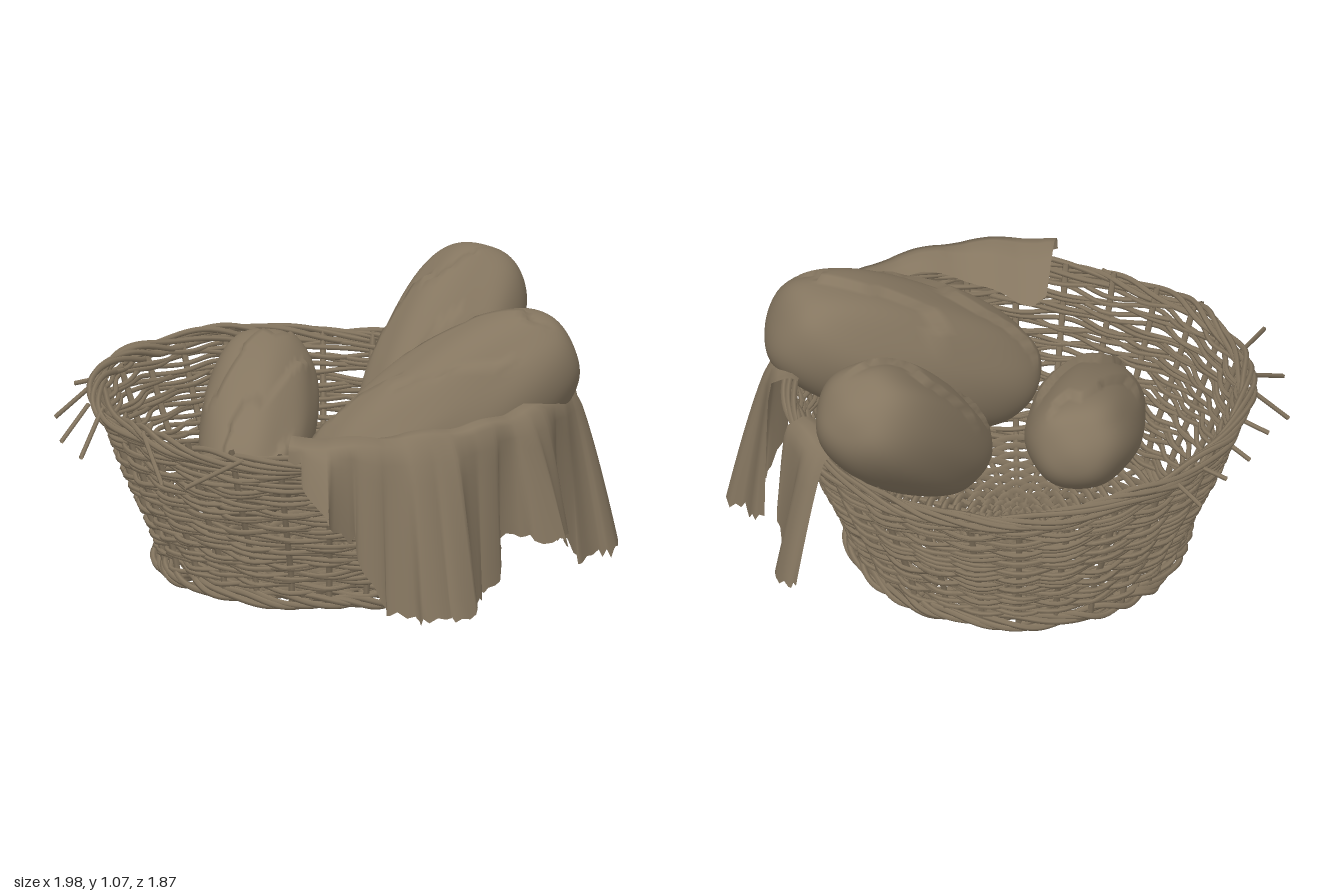
import * as THREE from 'three';
import { mergeGeometries, mergeVertices } from 'three/addons/utils/BufferGeometryUtils.js';

const TAU = Math.PI * 2;
const V = (x, y, z) => new THREE.Vector3(x, y, z);

let seed = 7;
const rand = () => (seed = (seed * 16807) % 2147483647) / 2147483647;

// Linear lookup in a table of [key, value, value...] rows with rising keys
function lookup(table, k, col = 1) {
  let i = 0;
  while (i < table.length - 2 && table[i + 1][0] < k) i++;
  const a = table[i], b = table[i + 1];
  const t = THREE.MathUtils.clamp((k - a[0]) / (b[0] - a[0]), 0, 1);
  return a[col] + (b[col] - a[col]) * t;
}

// Wall radius by height
const WALL = [[0.02, 0.6], [0.1, 0.605], [0.2, 0.645], [0.4, 0.735], [0.6, 0.805], [0.68, 0.835]];
const rimLift = (a) => 0.028 * Math.cos(2 * a) + 0.006 * Math.sin(7 * a);

class FnCurve extends THREE.Curve {
  constructor(fn) { super(); this.fn = fn; }
  getPoint(t, target = new THREE.Vector3()) { return target.copy(this.fn(t)); }
  getPointAt(t, target) { return this.getPoint(t, target); }
  getTangentAt(t, target) { return this.getTangent(t, target); }
}

// Closed strand; fn(angle) gives [radius, height]
function ring(fn, segments, thickness, sides = 5) {
  const curve = new FnCurve((t) => {
    const a = t * TAU, [r, y] = fn(a);
    return V(Math.cos(a) * r, y, Math.sin(a) * r);
  });
  return new THREE.TubeGeometry(curve, segments, thickness, sides, true);
}

function rod(points, thickness) {
  return new THREE.TubeGeometry(new THREE.CatmullRomCurve3(points), points.length * 2, thickness, 5);
}

// Several uneven strands twisted around one ring
function braid(radius, height, spread, thickness, strands, twists, lift) {
  const list = [];
  for (let s = 0; s < strands; s++) {
    const ph = (s / strands) * TAU, n = rand() * 6;
    list.push(ring((a) => {
      const w = spread * (1 + 0.3 * Math.sin(9 * a + n)), q = a * twists + ph + 0.5 * Math.sin(5 * a + n);
      return [radius + Math.cos(q) * w, height + Math.sin(q) * w + lift(a)];
    }, 180, thickness));
  }
  return list;
}

// Blunt loaf stretched between two ends, with slanting scores on its crust
function loaf(low, high, rLow, rHigh) {
  const geo = new THREE.IcosahedronGeometry(1, 16);
  geo.deleteAttribute('uv');
  geo.deleteAttribute('normal');
  const merged = mergeVertices(geo, 1e-4);
  const pos = merged.attributes.position;
  const axis = high.clone().sub(low).normalize();
  const side = V(0, 1, 0).cross(axis).normalize();
  const up = axis.clone().cross(side);
  const d = V(), p = V();
  const ph = rand() * 6;
  for (let i = 0; i < pos.count; i++) {
    d.fromBufferAttribute(pos, i).normalize();
    const along = d.dot(axis), across = d.dot(side), top = d.dot(up);
    const t = THREE.MathUtils.smoothstep(along, -0.9, 0.9);
    let r = rLow + (rHigh - rLow) * t;
    r *= 1 + 0.02 * Math.sin(d.x * 5 + ph) * Math.cos(d.y * 4 + d.z * 5 + ph);
    const saw = (along * 1.3 + across * 0.9 + 0.15 * Math.sin(across * 7 + ph) + 10.3) % 1;
    r += THREE.MathUtils.smoothstep(top, 0.35, 0.75) * 0.025 * (saw - 0.5);
    p.copy(low).lerp(high, t).addScaledVector(d, r);
    pos.setXYZ(i, p.x, p.y, p.z);
  }
  merged.computeVertexNormals();
  return merged;
}

// Cloth over the rim; hem rows are [degrees, hem height, hem radius, inner radius]
function drape(hem, columns, pleats) {
  const first = hem[0][0], last = hem[hem.length - 1][0];
  const overRows = 5, hang = 9, rows = overRows + hang;
  const pts = [], idx = [];
  for (let c = 0; c <= columns; c++) {
    const deg = first + (last - first) * (c / columns);
    const a = THREE.MathUtils.degToRad(deg);
    const hemY = lookup(hem, deg) + (rand() - 0.5) * 0.04;
    const hemR = lookup(hem, deg, 2), inner = lookup(hem, deg, 3);
    for (let r = 0; r < rows; r++) {
      let rad, y;
      if (r < overRows) {
        rad = inner + (0.895 - inner) * (r / (overRows - 1));
        y = 0.728 - 0.75 * Math.max(0, 0.82 - rad) - 0.4 * Math.max(0, rad - 0.84);
        y += 0.006 * Math.sin(deg * 0.35);
      } else {
        const u = (r - overRows + 1) / hang;
        rad = 0.9 + (hemR - 0.9) * Math.pow(u, 0.8) + 0.02 * Math.sqrt(u) * Math.sin(deg * pleats);
        y = 0.7 + (hemY - 0.7) * u;
      }
      const twist = a + 0.02 * Math.sin(deg * pleats * 1.7) * (r / rows);
      pts.push(Math.cos(twist) * rad, y, Math.sin(twist) * rad);
      if (c < columns && r < rows - 1) {
        const k = c * rows + r;
        idx.push(k, k + 1, k + rows, k + 1, k + rows + 1, k + rows);
      }
    }
  }
  const geo = new THREE.BufferGeometry();
  geo.setAttribute('position', new THREE.Float32BufferAttribute(pts, 3));
  geo.setIndex(idx);
  geo.computeVertexNormals();
  return geo;
}

export function createModel() {
  const model = new THREE.Group();
  const brown = new THREE.MeshStandardMaterial({ color: 0x857660, side: THREE.DoubleSide });
  brown.name = 'warm brown';
  const add = (name, geo, parent) => {
    const mesh = new THREE.Mesh(Array.isArray(geo) ? mergeGeometries(geo) : geo, brown);
    mesh.name = name;
    parent.add(mesh);
  };

  const basket = new THREE.Group();
  basket.name = 'basket';
  basket.position.set(-0.06, 0, -0.01);
  model.add(basket);

  // Upright stakes
  const stakeCount = 28, stakes = [];
  for (let i = 0; i < stakeCount; i++) {
    const a = (i / stakeCount) * TAU;
    const line = [0.03, 0.15, 0.3, 0.45, 0.65].map((y) => {
      const r = lookup(WALL, y);
      return V(Math.cos(a) * r, y, Math.sin(a) * r);
    });
    stakes.push(rod(line, 0.012));
  }
  add('wallStakes', stakes, basket);

  // Woven wall, two opposed uneven strands per row
  const weave = [], rows = 19;
  for (let j = 0; j < rows; j++) {
    const y0 = 0.08 + j * 0.0295;
    for (const s of [0, 1]) {
      const ph = (j + s) * Math.PI, n1 = rand() * 6, n2 = rand() * 6;
      weave.push(ring((a) => {
        const y = y0 + (s - 0.5) * 0.014 + 0.008 * Math.sin(5 * a + n1) + 0.006 * Math.sin(13 * a + n2)
          + rimLift(a) * (j / rows);
        return [lookup(WALL, y) + 0.02 * Math.cos((stakeCount / 2) * a + ph), y];
      }, 126, 0.0095));
    }
  }
  add('wallWeave', weave, basket);

  // Twisted rim and foot
  add('rim', braid(0.833, 0.645, 0.024, 0.011, 6, 6, rimLift), basket);
  add('foot', braid(0.605, 0.038, 0.02, 0.012, 5, 8, () => 0), basket);

  // Woven floor with spokes
  const floor = [];
  for (let r = 0.03; r < 0.56; r += 0.029) {
    const ph = rand() * TAU;
    floor.push(ring((a) => [
      r + 0.006 * Math.sin(5 * a + ph),
      0.05 + 0.012 * Math.cos(14 * a + Math.round(r / 0.029) * Math.PI),
    ], 112, 0.014, 4));
  }
  for (let i = 0; i < 14; i++) {
    const a = (i / 14) * Math.PI, c = Math.cos(a) * 0.6, s = Math.sin(a) * 0.6;
    floor.push(rod([V(-c, 0.05, -s), V(0, 0.05, 0), V(c, 0.05, s)], 0.011));
  }
  add('floorWeave', floor, basket);

  // Loose twig ends, each as two points
  const twigs = [
    [-0.84, 0.66, -0.32, -0.97, 0.63, -0.38], [-0.86, 0.66, -0.19, -0.99, 0.64, -0.2],
    [-0.86, 0.66, 0.01, -0.99, 0.6, 0], [-0.86, 0.66, 0.15, -0.99, 0.62, 0.16],
    [-0.84, 0.68, 0.31, -0.97, 0.55, 0.37], [-0.8, 0.64, 0.45, -0.83, 0.54, 0.62],
    [-0.7, 0.66, 0.55, -0.65, 0.56, 0.84], [-0.44, 0.66, 0.76, -0.3, 0.52, 0.9],
    [0, 0.63, 0.84, -0.2, 0.52, 0.91],
  ].map((t) => rod([V(t[0], t[1], t[2]), V(t[3], t[4], t[5])], 0.009));
  add('looseTwigs', twigs, model);

  // Bread
  add('leftLoaf', loaf(V(-0.22, 0.43, 0.31), V(-0.37, 0.61, -0.14), 0.2, 0.22), model);
  add('backLoaf', loaf(V(0.14, 0.48, -0.23), V(0.2, 0.83, -0.65), 0.2, 0.25), model);
  add('rightLoaf', loaf(V(0.25, 0.49, 0.27), V(0.61, 0.77, -0.13), 0.25, 0.265), model);

  // Cloth hanging over the rim
  const cloth = new THREE.Group();
  cloth.name = 'cloth';
  cloth.position.copy(basket.position);
  model.add(cloth);
  add('mainCloth', drape([
    [-29, 0.12, 0.9, 0.8], [-25, 0.1, 0.99, 0.79], [-20, 0.1, 1.05, 0.78], [-14, 0.09, 1.02, 0.77],
    [-9, 0.09, 0.93, 0.76], [-6, 0.19, 0.9, 0.76], [3, 0.24, 0.96, 0.76], [9, 0.25, 1.08, 0.76],
    [14, 0.28, 0.97, 0.77], [21, 0.3, 0.9, 0.78], [24, 0.11, 0.91, 0.78], [31, 0.09, 0.97, 0.78],
    [38, 0.08, 1.1, 0.77], [46, 0.08, 1.04, 0.74], [53, 0.1, 0.97, 0.7], [59, 0.34, 0.93, 0.67],
    [65, 0.45, 1.03, 0.64], [70, 0.6, 0.96, 0.63], [74, 0.67, 0.9, 0.66],
  ], 110, 0.6), cloth);
  add('backCloth', drape([
    [-64, 0.22, 1.03, 0.8], [-59, 0.2, 1.03, 0.77], [-54, 0.2, 1.0, 0.75],
    [-50, 0.3, 0.94, 0.75], [-46, 0.4, 0.92, 0.78],
  ], 20, 0.5), cloth);

  return model;
}
